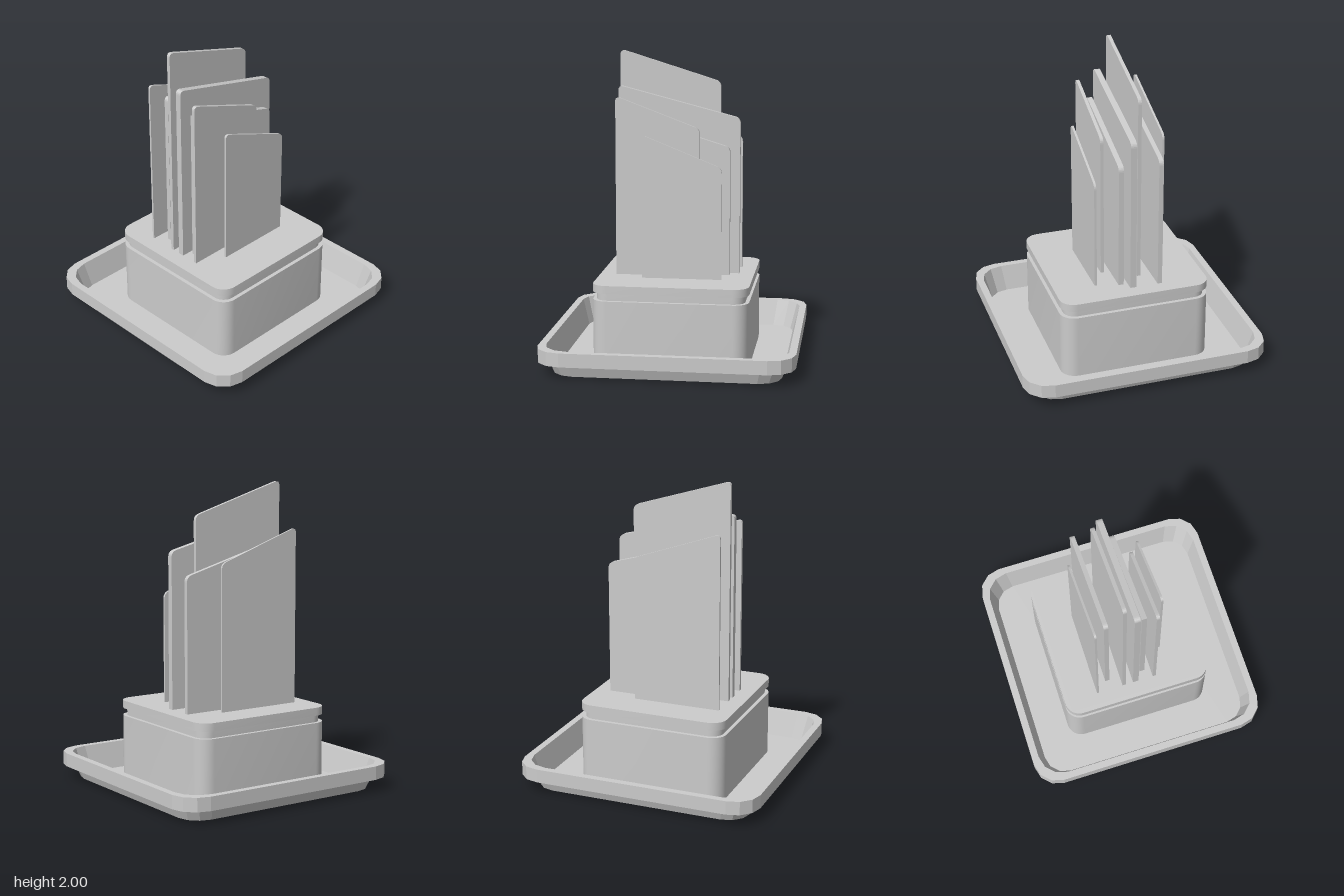
import * as THREE from 'three';
import { toCreasedNormals } from 'three/addons/utils/BufferGeometryUtils.js';

const material = new THREE.MeshStandardMaterial({ color: 0xcccccc, side: THREE.DoubleSide });
const flatMaterial = new THREE.MeshStandardMaterial({ color: 0xcccccc, side: THREE.DoubleSide, flatShading: true });

// Outline of a rounded square as Vector2 points
function roundedSquare(half, radius, segments) {
  const points = [];
  for (let corner = 0; corner < 4; corner++) {
    const mid = (corner + 0.5) * Math.PI / 2;
    const cx = Math.sign(Math.cos(mid)) * (half - radius);
    const cy = Math.sign(Math.sin(mid)) * (half - radius);
    for (let i = 0; i <= segments; i++) {
      const a = (corner + i / segments) * Math.PI / 2;
      points.push(new THREE.Vector2(cx + radius * Math.cos(a), cy + radius * Math.sin(a)));
    }
  }
  return points;
}

// Skin through rounded squares, each given as [half width, corner radius, y]
function loft(rings, segments) {
  const positions = [], index = [], n = 4 * (segments + 1);
  for (const [half, radius, y] of rings) {
    for (const p of roundedSquare(half, radius, segments)) positions.push(p.x, y, p.y);
  }
  for (let k = 0; k < rings.length - 1; k++) {
    for (let i = 0; i < n; i++) {
      const a = k * n + i, b = k * n + (i + 1) % n;
      index.push(a, a + n, b, a + n, b + n, b);
    }
  }
  const geometry = new THREE.BufferGeometry();
  geometry.setAttribute('position', new THREE.Float32BufferAttribute(positions, 3));
  geometry.setIndex(index);
  return toCreasedNormals(geometry, 0.4);
}

// Horizontal rounded-square sheet with an optional hole
function sheet(outline, y, hole) {
  const shape = new THREE.Shape(outline);
  if (hole) shape.holes.push(new THREE.Path(hole));
  return new THREE.ShapeGeometry(shape).rotateX(-Math.PI / 2).translate(0, y, 0);
}

// Upright plate in the yz plane with a slanting top and rounded upper corners
function plate(width, back, front, top, frontRadius) {
  const bottom = 0.52, drop = 0.208, r = 0.036;
  const slope = drop / (front - back);
  const peak = top + (frontRadius ? 0.01 : 0);
  const shape = new THREE.Shape();
  shape.moveTo(back, bottom);
  shape.lineTo(front, bottom);
  shape.lineTo(front, peak - frontRadius);
  if (frontRadius) shape.quadraticCurveTo(front, peak, front - frontRadius, peak - frontRadius * slope);
  shape.lineTo(back + r, peak - drop + r * slope);
  shape.quadraticCurveTo(back, peak - drop, back, peak - drop - r);
  shape.closePath();
  const geometry = new THREE.ExtrudeGeometry(shape, { depth: width, bevelEnabled: false, curveSegments: 6 });
  return geometry.translate(0, 0, -width / 2).rotateY(-Math.PI / 2);
}

export function createModel() {
  const model = new THREE.Group();
  const add = (name, geometry, mat = material, parent = model) => {
    const mesh = new THREE.Mesh(geometry, mat);
    mesh.name = name;
    parent.add(mesh);
    return mesh;
  };

  // Tray: sloping sides under an overhanging rim, and a floor open below the block
  add('trayRim', loft([
    [0.73, 0.145, 0], [0.763, 0.16, 0.085], [0.822, 0.17, 0.085],
    [0.822, 0.17, 0.175], [0.775, 0.165, 0.175], [0.73, 0.145, 0],
  ], 3), flatMaterial);
  add('trayFloor', sheet(roundedSquare(0.73, 0.145, 3), 0, roundedSquare(0.505, 0.1, 8)));

  // Hollow block with a groove below its lid
  add('block', loft([
    [0.505, 0.1, 0], [0.505, 0.1, 0.438], [0.48, 0.08, 0.438],
    [0.48, 0.08, 0.487], [0.505, 0.1, 0.487], [0.505, 0.1, 0.54],
  ], 8));
  add('lid', sheet(roundedSquare(0.505, 0.1, 8), 0.54));

  // Plates: x, thickness, back z, front z, top y, front corner radius
  const plates = new THREE.Group();
  plates.name = 'plates';
  model.add(plates);
  [
    [-0.27, 0.014, -0.19, 0.4, 1.7, 0.036],
    [-0.183, 0.03, -0.405, 0.335, 1.625, 0.036],
    [-0.083, 0.024, -0.268, 0.4, 2, 0.036],
    [0, 0.04, -0.405, 0.4, 1.77, 0.036],
    [0.064, 0.035, -0.345, 0.34, 1.595, 0],
    [0.133, 0.022, -0.153, 0.4, 1.71, 0.036],
    [0.226, 0.015, -0.307, 0.213, 1.47, 0.036],
  ].forEach(([x, width, back, front, top, radius], i) => {
    add(`plate${i + 1}`, plate(width, back, front, top, radius), material, plates).position.x = x;
  });

  return model;
}
